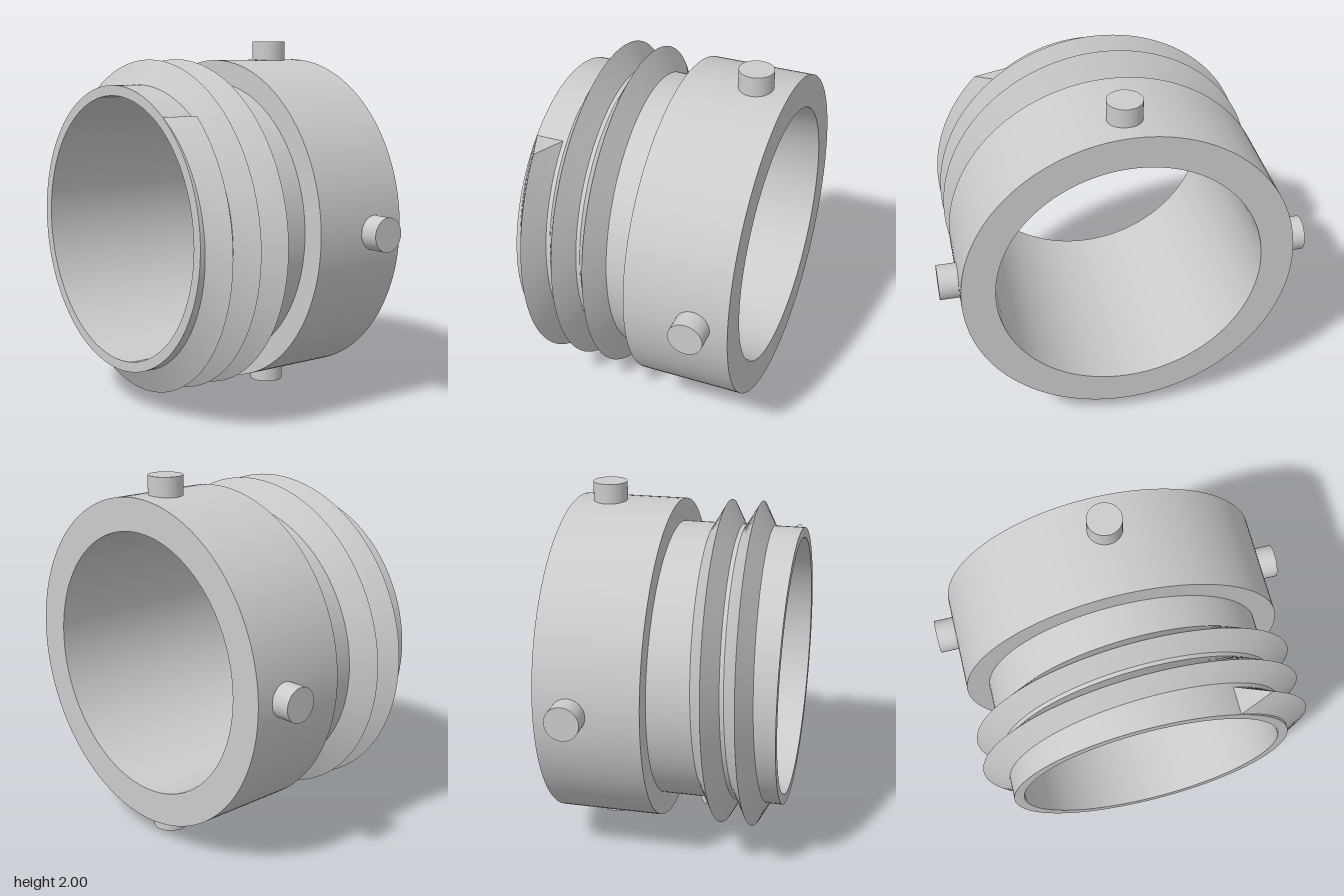
import * as THREE from 'three';
import { toCreasedNormals } from 'three/addons/utils/BufferGeometryUtils.js';

const BORE = 0.717, NECK = 0.772, COLLAR = 0.897, HALF = 0.617, STEP = -0.053;

// Helical V-shaped ridge around z, with closed ends
function threadGeometry() {
  const steps = 344, start = -95, end = 765;
  const root = NECK - 0.003, crest = 0.904, halfWidth = 0.077, pitch = 0.1745;
  const pos = [], idx = [];
  for (let i = 0; i <= steps; i++) {
    const t = i / steps;
    const deg = start + (end - start) * t;
    const z = 0.169 + pitch * deg / 360;
    const a = THREE.MathUtils.degToRad(deg);
    const b = a + THREE.MathUtils.degToRad(9.5 * t); // root runs slightly ahead of the crest
    for (const [r, ang, dz] of [[root, b, -halfWidth], [crest, a, 0], [root, b, halfWidth]]) {
      pos.push(r * Math.cos(ang), r * Math.sin(ang), Math.min(z + dz, HALF));
    }
    if (i < steps) {
      for (let k = 0; k < 3; k++) {
        const p = i * 3 + k, q = i * 3 + (k + 1) % 3;
        idx.push(p, p + 3, q, q, p + 3, q + 3);
      }
    }
  }
  const e = steps * 3;
  idx.push(0, 1, 2, e, e + 2, e + 1);
  const g = new THREE.BufferGeometry();
  g.setAttribute('position', new THREE.Float32BufferAttribute(pos, 3));
  g.setIndex(idx);
  return toCreasedNormals(g, 0.5);
}

export function createModel() {
  const model = new THREE.Group();
  model.name = 'threadedCoupling';
  const material = new THREE.MeshStandardMaterial({ color: 0xcccccc });
  const add = (name, geometry) => {
    const mesh = new THREE.Mesh(geometry, material);
    mesh.name = name;
    mesh.position.y = 1;
    model.add(mesh);
    return mesh;
  };

  // Hollow body: wide rear collar stepping down to a narrow neck
  const profile = [
    [BORE, -HALF], [COLLAR, -HALF], [COLLAR, STEP],
    [NECK, STEP], [NECK, HALF], [BORE, HALF], [BORE, -HALF],
  ].map(([r, z]) => new THREE.Vector2(r, z));
  const body = new THREE.LatheGeometry(profile, 128).rotateX(Math.PI / 2);
  add('collarAndNeck', toCreasedNormals(body, 0.5));

  // Screw thread on the neck
  add('screwThread', threadGeometry());

  // Four radial pegs around the collar
  const pegInner = 0.86, pegOuter = 1;
  for (let i = 0; i < 4; i++) {
    const peg = new THREE.CylinderGeometry(0.093, 0.093, pegOuter - pegInner, 48);
    peg.translate(0, (pegInner + pegOuter) / 2, 0);
    peg.rotateZ(i * Math.PI / 2);
    peg.translate(0, 0, -0.43);
    add('peg' + (i + 1), peg);
  }
  return model;
}
